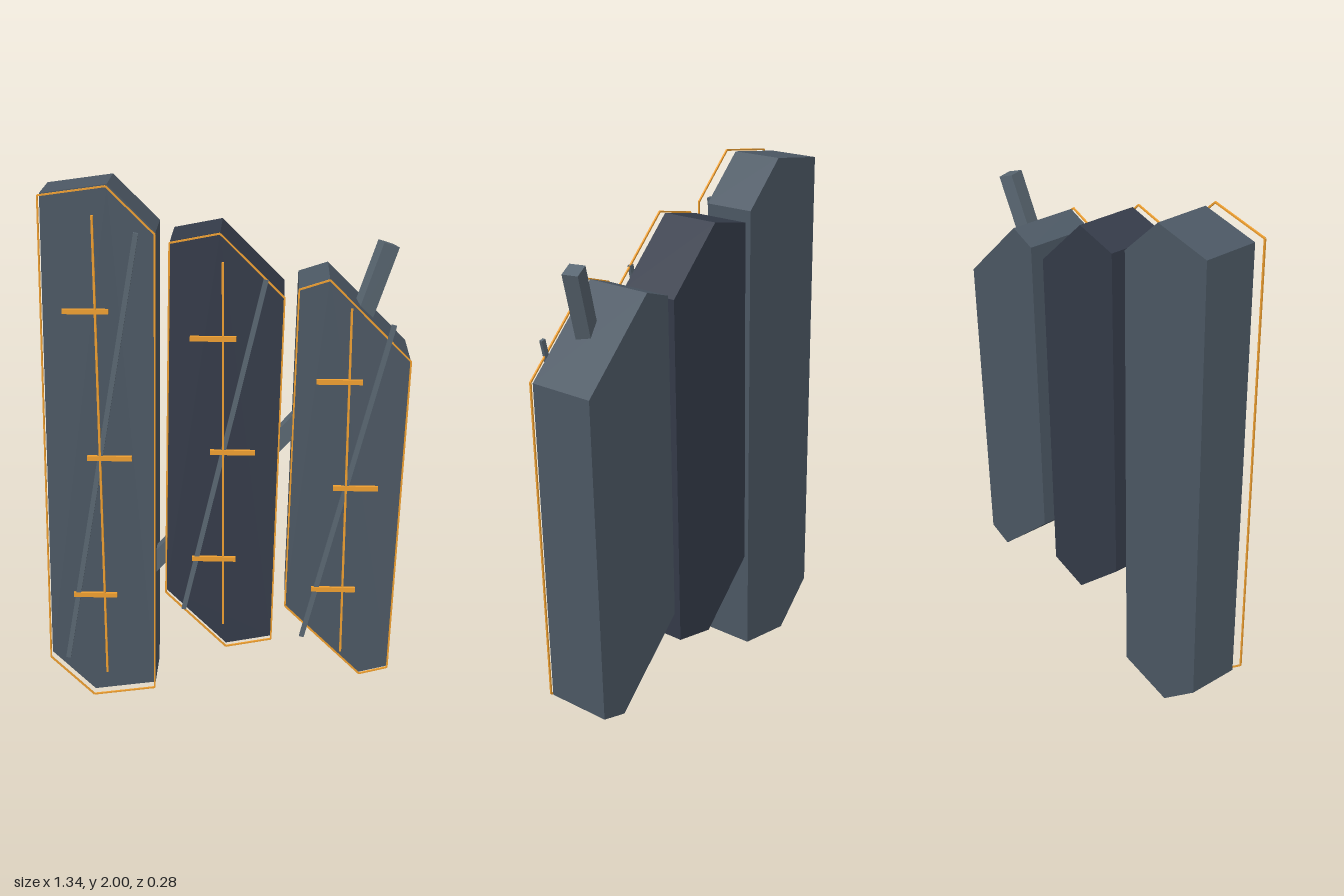
import * as THREE from 'three';

const mat = (color) => new THREE.MeshStandardMaterial({ color, flatShading: true });
const slate = mat(0x4c5864);
const navy = mat(0x343b49);
const steel = mat(0x5a6772);
const amber = mat(0xf0a030);

// Each slab: outline corners (x, y), depth range, centre x, seam range, tick heights, diagonal strip
const SLABS = [
  { name: 'rightSlab', material: slate, z: [-0.11, 0.085], x: -0.45, seam: [0.11, 1.9],
    ticks: [1.56, 1.005, 0.445], strip: [0.17, 1.84],
    pts: [[-0.635, 1.967], [-0.4, 2], [-0.235, 1.835], [-0.267, 0.04], [-0.505, 0.005], [-0.668, 0.168]] },
  { name: 'middleSlab', material: navy, z: [-0.125, 0.1], x: 0, seam: [0.33, 1.74],
    ticks: [1.465, 1.035, 0.605], strip: [0.39, 1.68],
    pts: [[-0.185, 1.806], [-0.01, 1.84], [0.215, 1.615], [0.183, 0.265], [0.01, 0.23], [-0.217, 0.458]] },
  { name: 'leftSlab', material: slate, z: [-0.14, 0.115], x: 0.45, seam: [0.22, 1.58],
    ticks: [1.31, 0.9, 0.485], strip: [0.28, 1.52],
    pts: [[0.265, 1.645], [0.372, 1.68], [0.665, 1.387], [0.632, 0.15], [0.525, 0.12], [0.235, 0.408]] },
];

// Square bar running from a to b
function bar(name, a, b, width, depth, material) {
  const from = new THREE.Vector3(...a), to = new THREE.Vector3(...b);
  const dir = to.clone().sub(from);
  const mesh = new THREE.Mesh(new THREE.BoxGeometry(width, dir.length(), depth), material);
  mesh.name = name;
  mesh.position.copy(from).add(to).multiplyScalar(0.5);
  mesh.quaternion.setFromUnitVectors(new THREE.Vector3(0, 1, 0), dir.normalize());
  return mesh;
}

function makeSlab({ name, material, z, x, seam, ticks, strip, pts }) {
  const group = new THREE.Group();
  group.name = name;

  // Six-sided body
  const shape = new THREE.Shape(pts.map(([px, py]) => new THREE.Vector2(px, py)));
  const body = new THREE.Mesh(
    new THREE.ExtrudeGeometry(shape, { depth: z[1] - z[0], bevelEnabled: false }), material);
  body.position.z = z[0];
  body.name = 'body';
  group.add(body);

  // Thin rim floating in front of the body
  pts.forEach((p, i) => {
    const q = pts[(i + 1) % pts.length];
    group.add(bar('rim', [...p, 0.126], [...q, 0.126], 0.006, 0.006, amber));
  });

  // Vertical seam, diagonal strip and short cross ticks
  group.add(bar('seam', [x, seam[0], 0.13], [x, seam[1], 0.13], 0.008, 0.01, amber));
  group.add(bar('diagonalStrip', [x - 0.15, strip[0], 0.127], [x + 0.15, strip[1], 0.127], 0.018, 0.012, steel));
  ticks.forEach((y, i) => {
    const cx = x + (i === 1 ? 0.035 : -0.035);
    group.add(bar('tick', [cx - 0.082, y, 0.131], [cx + 0.082, y, 0.131], 0.018, 0.012, amber));
  });
  return group;
}

export function createModel() {
  const model = new THREE.Group();
  SLABS.forEach((s) => model.add(makeSlab(s)));

  // Slanted struts joining neighbouring slabs
  model.add(bar('lowerStrut', [-0.3, 0.505, 0.03], [-0.17, 0.655, 0.03], 0.06, 0.055, steel));
  model.add(bar('upperStrut', [0.165, 1.015, 0.045], [0.295, 1.165, 0.045], 0.06, 0.055, steel));

  // Peg leaning out of the left slab's sloped top
  const peg = bar('peg', [0.48, 1.49, 0.025], [0.58, 1.78, -0.008], 0.062, 0.058, steel);
  peg.rotateY(0.3);
  model.add(peg);
  return model;
}
